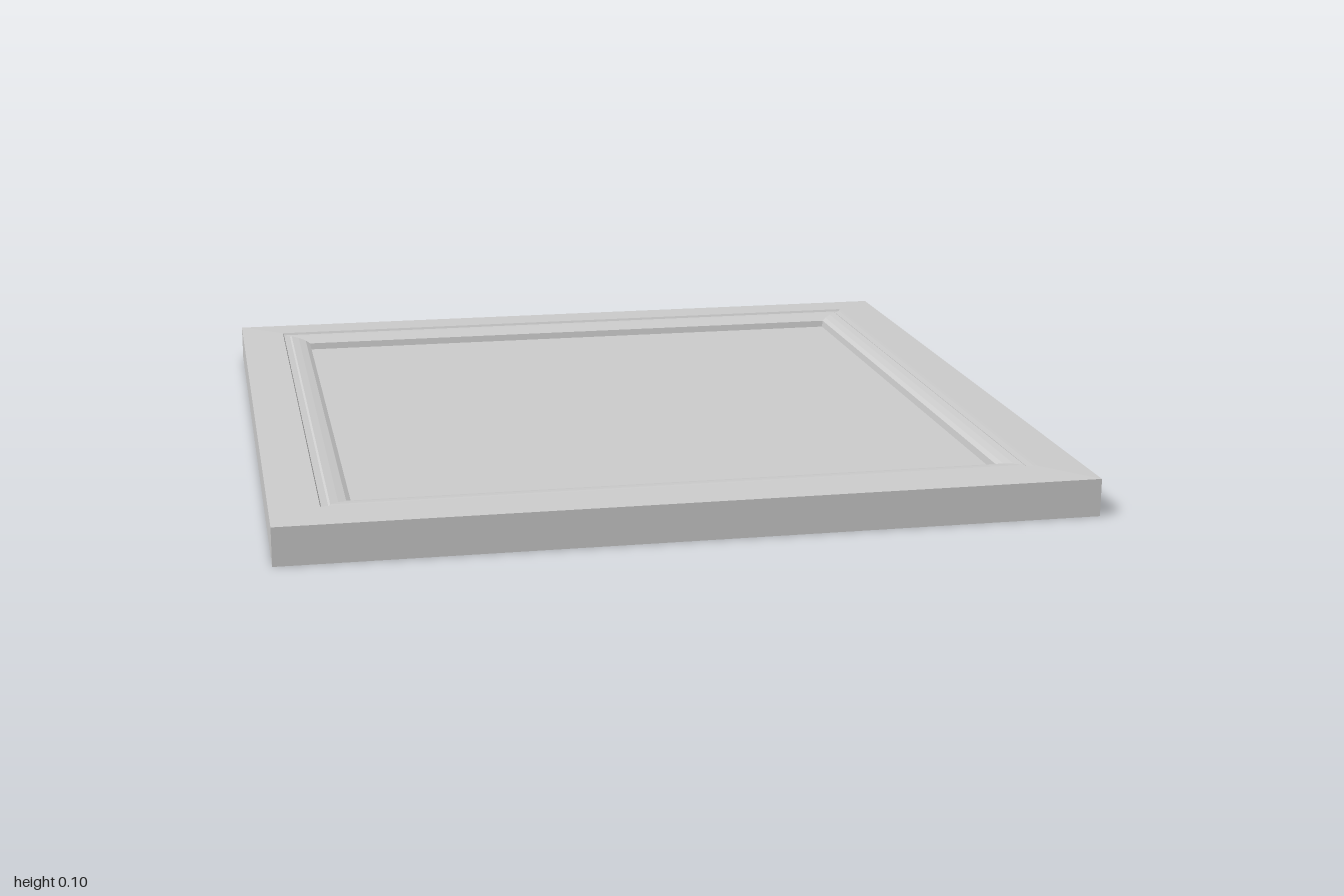
import * as THREE from 'three';

const material = new THREE.MeshStandardMaterial({ color: 0xcccccc, flatShading: true });

// Sweeps a [half width, height] profile around a square
function squareSweep(name, profile) {
  const points = profile.map(([r, y]) => new THREE.Vector2(r * Math.SQRT2, y));
  const geometry = new THREE.LatheGeometry(points, 4).rotateY(Math.PI / 4).toNonIndexed();
  geometry.computeVertexNormals();
  const mesh = new THREE.Mesh(geometry, material);
  mesh.name = name;
  return mesh;
}

// Horizontal square facing up (side 1) or down (side -1)
function squareFace(name, half, y, side) {
  const geometry = new THREE.PlaneGeometry(half * 2, half * 2).rotateX(-side * Math.PI / 2);
  const mesh = new THREE.Mesh(geometry, material);
  mesh.name = name;
  mesh.position.y = y;
  return mesh;
}

export function createModel() {
  const group = new THREE.Group();
  group.name = 'framedTile';

  // Outer walls and the wide rim, rising slightly inward
  group.add(squareSweep('outerFrame', [[1, 0], [1, 0.095], [0.88, 0.1]]));

  // Fine step, rounded inner moulding and the drop to the panel
  group.add(squareSweep('innerMoulding', [
    [0.88, 0.1], [0.877, 0.094], [0.86, 0.093], [0.855, 0.096],
    [0.835, 0.094], [0.815, 0.09], [0.803, 0.083], [0.8, 0.065],
  ]));

  // Recessed panel and flat underside
  group.add(squareFace('panel', 0.8, 0.065, 1));
  group.add(squareFace('underside', 1, 0, -1));

  return group;
}
